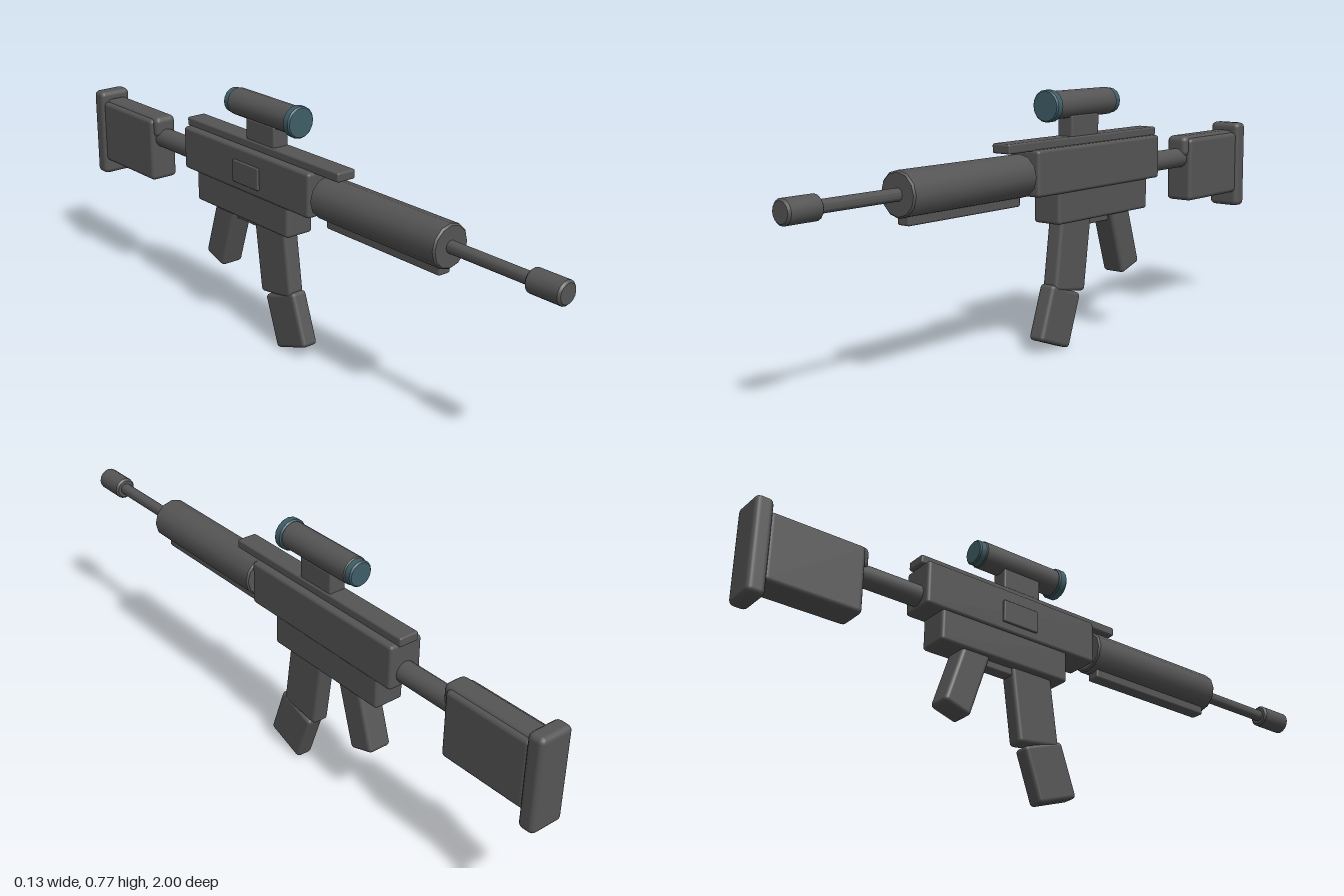
import * as THREE from 'three';
import { toCreasedNormals } from 'three/addons/utils/BufferGeometryUtils.js';
import { RoundedBoxGeometry } from 'three/addons/geometries/RoundedBoxGeometry.js';

export function createModel() {
  const gunmetal = new THREE.MeshStandardMaterial({ color: 0x555555 });
  gunmetal.name = 'gunmetal';
  const lensTeal = new THREE.MeshStandardMaterial({ color: 0x3f5e68 });
  lensTeal.name = 'lensTeal';

  const model = new THREE.Group();
  model.name = 'toyRifle';

  function add(name, geometry, material = gunmetal) {
    const mesh = new THREE.Mesh(geometry, material);
    mesh.name = name;
    model.add(mesh);
    return mesh;
  }

  // Soft-edged block given by its half width and its y and z ranges
  function block(name, halfWidth, y0, y1, z0, z1, radius = 0.01, x = 0) {
    const mesh = add(name, new RoundedBoxGeometry(2 * halfWidth, y1 - y0, z1 - z0, 2, radius));
    mesh.position.set(x, (y0 + y1) / 2, (z0 + z1) / 2);
    return mesh;
  }

  // Soft-edged block tilted about the x axis
  function tilted(name, width, height, depth, y, z, angle) {
    const mesh = add(name, new RoundedBoxGeometry(width, height, depth, 2, 0.012));
    mesh.position.set(0, y, z);
    mesh.rotation.x = angle;
  }

  // Bevelled rod lying along z
  function rod(name, radius, y, z0, z1, bevel, sides = 16, material = gunmetal) {
    const profile = [
      [0, z0], [radius - bevel, z0], [radius, z0 + bevel],
      [radius, z1 - bevel], [radius - bevel, z1], [0, z1],
    ].map(([r, h]) => new THREE.Vector2(r, h));
    const geometry = toCreasedNormals(new THREE.LatheGeometry(profile, sides), 0.6);
    geometry.rotateX(Math.PI / 2);
    add(name, geometry, material).position.y = y;
  }

  // Barrel and handguard
  rod('muzzle', 0.034, 0.535, 0.89, 1.0, 0.006);
  rod('barrel', 0.018, 0.535, 0.1, 0.9, 0.002);
  rod('handguard', 0.063, 0.535, 0.135, 0.62, 0.005, 12);
  block('handguardRail', 0.021, 0.452, 0.49, 0.16, 0.602, 0.006);

  // Receiver
  block('upperReceiver', 0.054, 0.474, 0.608, -0.476, 0.12);
  block('lowerReceiver', 0.048, 0.383, 0.49, -0.42, 0.02);
  block('sidePort', 0.008, 0.5, 0.568, -0.22, -0.1, 0.003, -0.054);
  block('topRail', 0.032, 0.604, 0.632, -0.486, 0.22, 0.006);

  // Scope with a teal lens at each end
  block('scopeMount', 0.027, 0.62, 0.695, -0.196, -0.066, 0.006);
  rod('scopeTube', 0.041, 0.725, -0.268, 0.003, 0.003);
  rod('frontLens', 0.047, 0.724, -0.003, 0.025, 0.004, 16, lensTeal);
  rod('rearLens', 0.038, 0.725, -0.29, -0.262, 0.004, 16, lensTeal);

  // Magazine, grip and trigger guard
  tilted('magazineTop', 0.054, 0.26, 0.142, 0.302, -0.08, -0.14);
  tilted('magazineBottom', 0.054, 0.168, 0.138, 0.103, -0.02, -0.34);
  tilted('grip', 0.076, 0.23, 0.09, 0.312, -0.318, 0.31);
  block('triggerGuard', 0.02, 0.362, 0.395, -0.27, -0.14, 0.005);

  // Stock
  rod('stockTube', 0.032, 0.516, -0.7, -0.46, 0.003);
  block('stock', 0.047, 0.375, 0.58, -0.955, -0.668, 0.014);
  block('cheekRest', 0.037, 0.52, 0.588, -0.955, -0.65, 0.018);
  block('buttPlate', 0.054, 0.327, 0.612, -1.0, -0.947, 0.016);

  return model;
}
